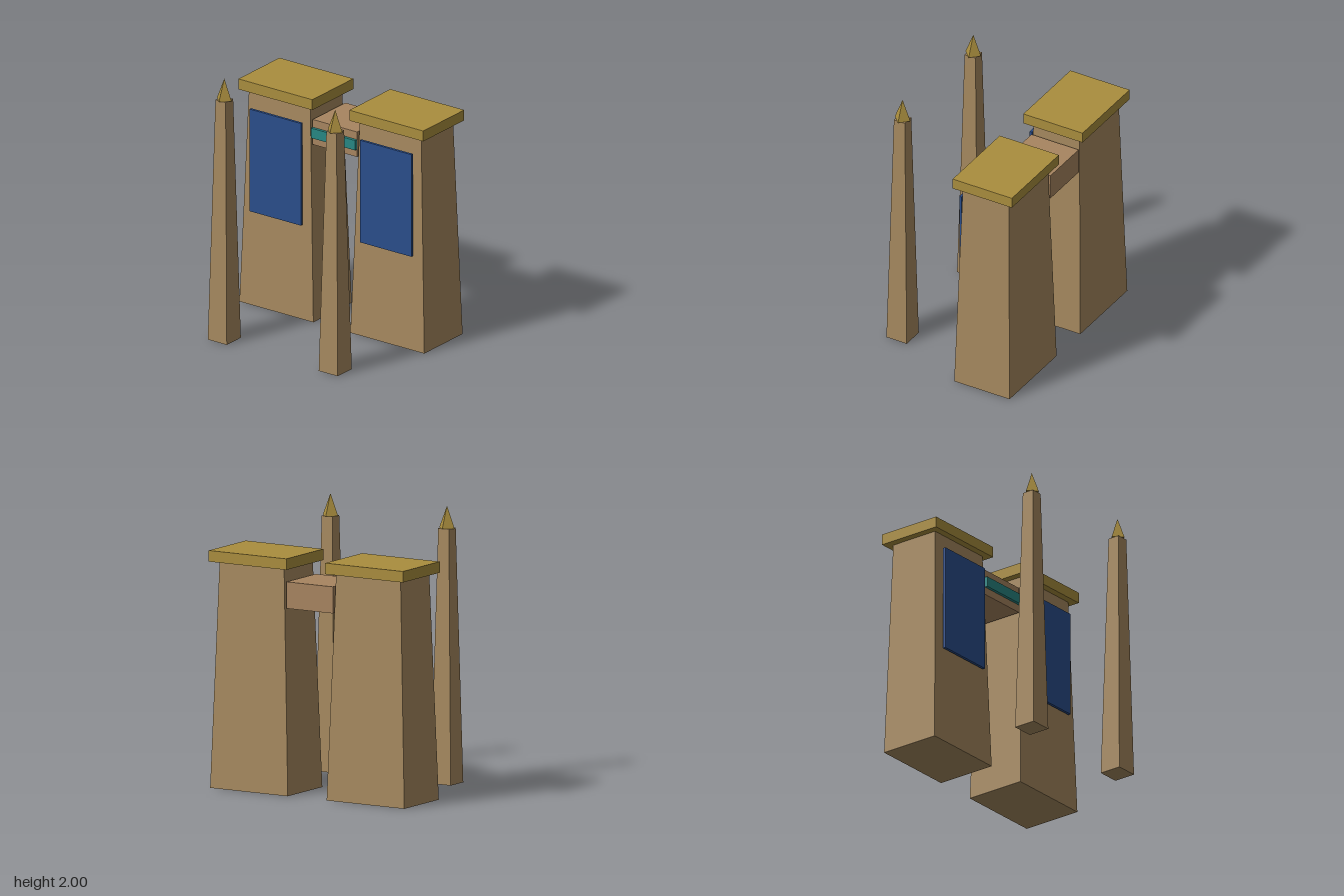
import * as THREE from 'three';

const mat = (name, color) => {
  const m = new THREE.MeshStandardMaterial({ color });
  m.name = name;
  return m;
};

export function createModel() {
  const sand = mat('sandstone', 0xa6895f);
  const lintelStone = mat('lintel stone', 0xa88560);
  const gold = mat('gold', 0xaa8e3e);
  const blue = mat('banner blue', 0x2a4e8c);
  const teal = mat('teal', 0x288884);

  const add = (parent, name, geometry, material, x, y, z) => {
    const mesh = new THREE.Mesh(geometry, material);
    mesh.name = name;
    mesh.position.set(x, y, z);
    parent.add(mesh);
  };

  // Box standing on y = 0 whose top face is scaled inwards
  const taperedBox = (w, h, d, topW, topD) => {
    const g = new THREE.BoxGeometry(w, h, d).translate(0, h / 2, 0);
    const p = g.attributes.position;
    for (let i = 0; i < p.count; i++) {
      if (p.getY(i) > h / 2) {
        p.setX(i, Math.sign(p.getX(i)) * topW / 2);
        p.setZ(i, Math.sign(p.getZ(i)) * topD / 2);
      }
    }
    g.computeVertexNormals();
    return g;
  };

  const model = new THREE.Group();
  model.name = 'templeGate';

  for (const side of [-1, 1]) {
    const x = side * 0.491;
    const label = side > 0 ? 'left' : 'right';

    // Sloping tower with overhanging cornice and hanging banner
    const tower = new THREE.Group();
    tower.name = label + 'Tower';
    add(tower, 'towerBody', taperedBox(0.654, 1.636, 0.458, 0.543, 0.38), sand, x, 0, -0.345);
    add(tower, 'cornice', new THREE.BoxGeometry(0.654, 0.08, 0.49), gold, x, 1.676, -0.348);
    add(tower, 'banner', new THREE.BoxGeometry(0.457, 0.785, 0.02), blue, side * 0.489, 1.118, -0.108);
    model.add(tower);

    // Obelisk with a pyramid tip turned 45 degrees to its shaft
    const obelisk = new THREE.Group();
    obelisk.name = label + 'Obelisk';
    add(obelisk, 'shaft', taperedBox(0.168, 1.84, 0.168, 0.09, 0.09), sand, x, 0, 0.506);
    const tip = new THREE.ConeGeometry(0.064, 0.16, 4).toNonIndexed();
    tip.computeVertexNormals();
    add(obelisk, 'tip', tip, gold, x, 1.92, 0.506);
    model.add(obelisk);
  }

  // Lintel between the towers, with its coloured band
  add(model, 'lintel', new THREE.BoxGeometry(0.392, 0.192, 0.39), lintelStone, 0, 1.444, -0.347);
  add(model, 'lintelBand', new THREE.BoxGeometry(0.392, 0.076, 0.024), teal, 0, 1.443, -0.142);

  return model;
}
